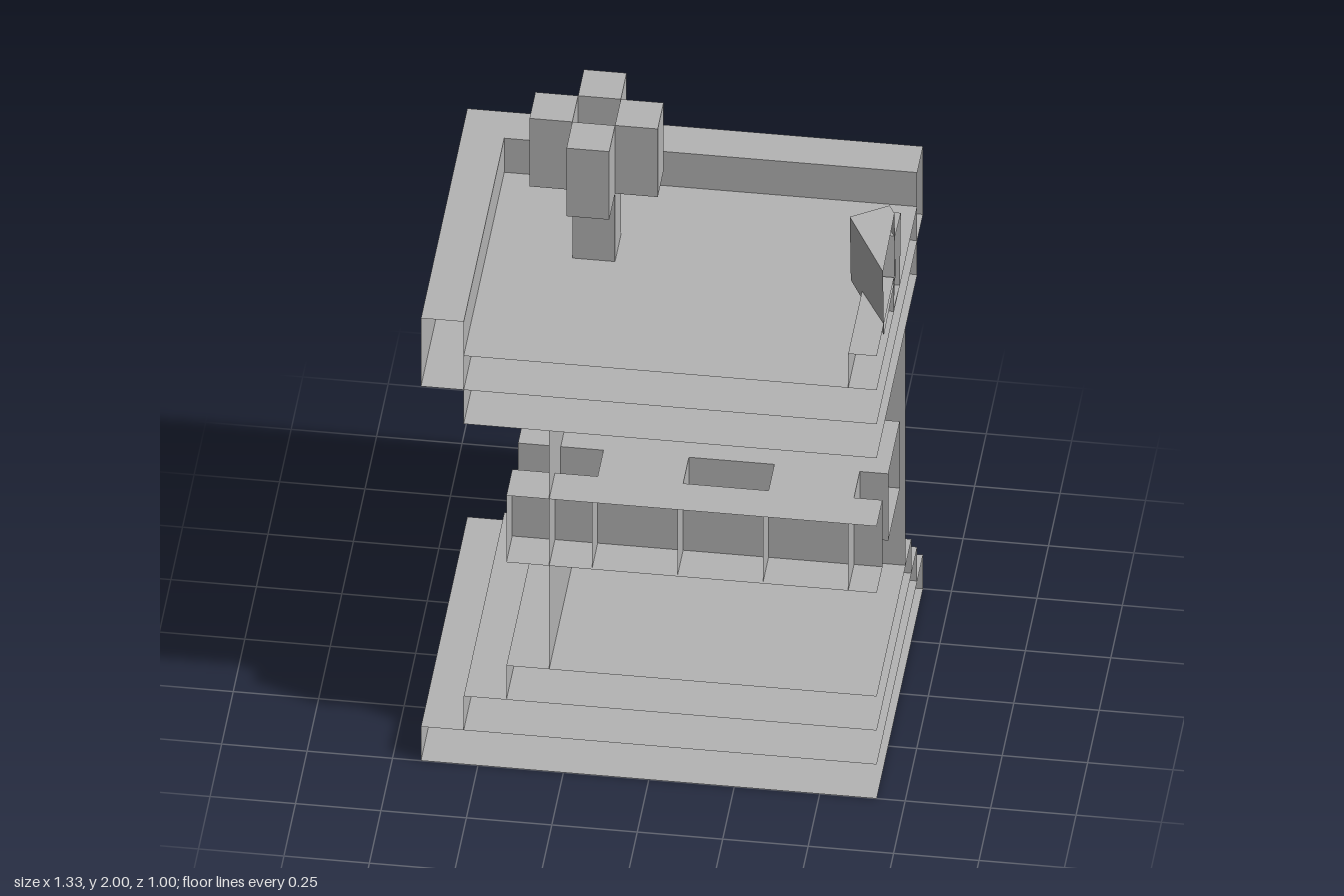
import * as THREE from 'three';

const X = 2 / 3, Z = 0.5, U = 0.125;      // open cut planes at +X and +Z, grid unit
const gx = (n) => -X + n * U;             // grid lines counted from the far corner
const gz = (n) => -Z + n * U;

const stone = new THREE.MeshStandardMaterial({ color: 0xb4b4b4, side: THREE.DoubleSide });
stone.name = 'grey stone';

// Box from min/max corners; sides lying on the cut planes are left open
function block(name, [x0, x1], [y0, y1], [z0, z1]) {
  const geo = new THREE.BoxGeometry(x1 - x0, y1 - y0, z1 - z0);
  geo.translate((x0 + x1) / 2, (y0 + y1) / 2, (z0 + z1) / 2);
  const open = new Set();
  if (Math.abs(x1 - X) < 1e-6) open.add(0);
  if (Math.abs(z1 - Z) < 1e-6) open.add(4);
  const index = Array.from(geo.index.array).filter((_, i) => !open.has(Math.floor(i / 6)));
  geo.setIndex(index);
  geo.clearGroups();
  const mesh = new THREE.Mesh(geo, stone);
  mesh.name = name;
  return mesh;
}

// Leaning prism with a rotated footprint, cut open at +X
function leaningHead() {
  const foot = [[X, 0.365], [0.54, 0.145], [0.648, 0.083], [X, 0.115]];
  const top = foot.map(([x, z]) => [x, 1.85 - 0.088 * (z - 0.145), z]);
  const low = top.map(([x, y, z]) => [x, y - 0.249, z - 0.022]);
  const pos = [];
  const tri = (a, b, c) => pos.push(...a, ...b, ...c);
  for (let i = 0; i < 3; i++) {
    tri(low[i + 1], low[i], top[i]);
    tri(low[i + 1], top[i], top[i + 1]);
  }
  for (let i = 1; i < 3; i++) {
    tri(top[0], top[i + 1], top[i]);
    tri(low[0], low[i], low[i + 1]);
  }
  const geo = new THREE.BufferGeometry();
  geo.setAttribute('position', new THREE.Float32BufferAttribute(pos, 3));
  geo.computeVertexNormals();
  const mesh = new THREE.Mesh(geo, stone);
  mesh.name = 'leaningHead';
  return mesh;
}

export function createModel() {
  const model = new THREE.Group();
  model.name = 'steppedPillar';
  const add = (...args) => model.add(block(...args));

  // Stepped base
  for (let i = 0; i < 3; i++) add('baseStep', [gx(i), X], [i * U, (i + 1) * U], [gz(i), Z]);

  // Trunk
  add('trunk', [gx(3), X], [0.375, 1.25], [gz(3), Z]);

  // Belt of crossing beams whose ends stick out of the trunk
  const beamY = [0.755, 1.0];
  for (const [a, b] of [[4, 6], [7, 8]]) add('beamAcross', [gx(2), X], beamY, [gz(a), gz(b)]);
  for (const [a, b] of [[4, 6], [8, 10]]) add('beamDeep', [gx(a), gx(b)], beamY, [gz(2), Z]);

  // Roof slabs and parapet
  for (let i = 10; i < 12; i++) add('roofSlab', [gx(1), X], [i * U, (i + 1) * U], [gz(1), Z]);
  add('backParapet', [gx(0), X], [1.375, 1.625], [gz(0), gz(1)]);
  add('sideParapet', [gx(0), gx(1)], [1.375, 1.625], [gz(1), Z]);

  // Post with four blocks around its top
  add('postStem', [gx(3), gx(4)], [1.5, 1.75], [gz(3), gz(4)]);
  for (const [i, j] of [[2, 3], [4, 3], [3, 2], [3, 4]]) {
    add('postArm', [gx(i), gx(i + 1)], [1.75, 2], [gz(j), gz(j + 1)]);
  }

  // Low wall, leaning neck and head at the cut edge
  add('lowWall', [gx(10), X], [1.5, 1.625], [gz(5), Z]);
  const neck = block('leaningNeck', [gx(10), X], [0, 0.25], [0, U]);
  neck.position.y = 1.5;
  neck.rotation.x = -0.087;
  model.add(neck, leaningHead());

  return model;
}
